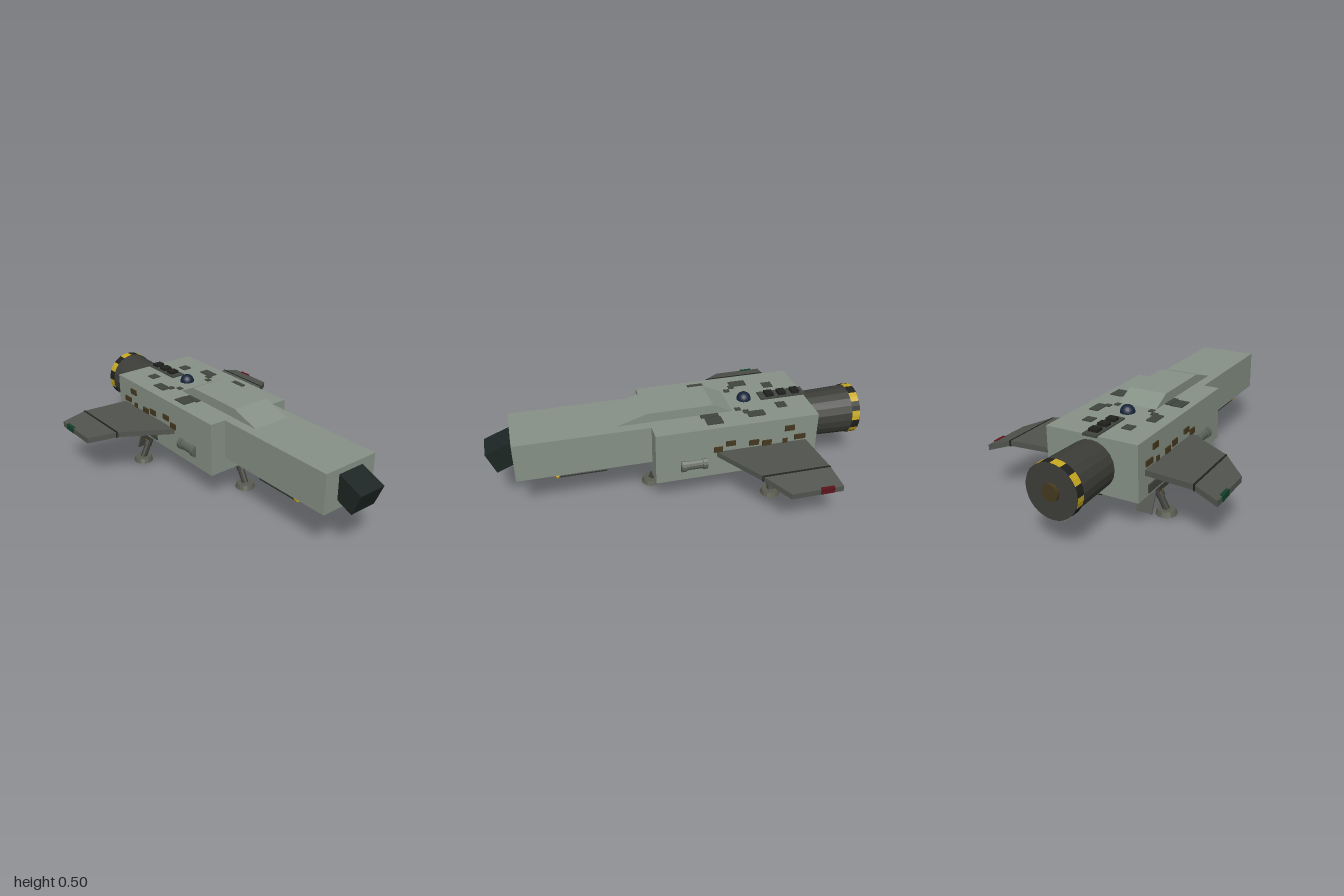
import * as THREE from 'three';

const mat = (color, side = THREE.FrontSide) =>
  new THREE.MeshStandardMaterial({ color, flatShading: true, side });
const HULL = mat(0x869186), DARK = mat(0x3c3d38), WING = mat(0x50534d), PANEL = mat(0x41453f);
const BLACK = mat(0x20211e), BROWN = mat(0x44381f), YELLOW = mat(0xc8a920), GLASS = mat(0x1c2623);
const POD = mat(0x5c625a), FOOT = mat(0x5a5b50);

function add(parent, name, geometry, material, x = 0, y = 0, z = 0) {
  const m = new THREE.Mesh(geometry, material);
  m.name = name;
  m.position.set(x, y, z);
  parent.add(m);
  return m;
}
const box = (p, name, material, [w, h, d], [x, y, z]) =>
  add(p, name, new THREE.BoxGeometry(w, h, d), material, x, y, z);
// cylinder along z, with r1 at its front end
const tubeZ = (p, name, material, r1, r2, len, sides, [x, y, z]) =>
  add(p, name, new THREE.CylinderGeometry(r1, r2, len, sides).rotateX(Math.PI / 2), material, x, y, z);
// cylinder between two points
function rod(p, name, material, r, a, b, sides = 10) {
  const A = new THREE.Vector3(...a), B = new THREE.Vector3(...b), d = B.clone().sub(A);
  const m = add(p, name, new THREE.CylinderGeometry(r, r, d.length(), sides), material);
  m.position.copy(A).add(B).multiplyScalar(0.5);
  m.quaternion.setFromUnitVectors(new THREE.Vector3(0, 1, 0), d.normalize());
  return m;
}

// solid skinned through four-cornered sections, ordered from +x root outwards
function loft(sections) {
  const pos = sections.flat(2), idx = [];
  for (let s = 0; s < sections.length - 1; s++)
    for (let i = 0; i < 4; i++) {
      const a = s * 4 + i, b = s * 4 + (i + 1) % 4;
      idx.push(a, a + 4, b, b, a + 4, b + 4);
    }
  const e = (sections.length - 1) * 4;
  idx.push(0, 1, 2, 0, 2, 3, e, e + 2, e + 1, e, e + 3, e + 2);
  const g = new THREE.BufferGeometry();
  g.setAttribute('position', new THREE.Float32BufferAttribute(pos, 3));
  g.setIndex(idx);
  const flat = g.toNonIndexed();
  flat.computeVertexNormals();
  return flat;
}
const section = (x, top, bottom, front, rear) =>
  [[x, top, front], [x, top, rear], [x, bottom, rear], [x, bottom, front]];

function makeLeg(parent, name, x, z, footX, footZ, doorX) {
  const leg = new THREE.Group();
  leg.name = name;
  parent.add(leg);
  box(leg, 'legMount', DARK, [0.095, 0.025, 0.1], [x, 0.147, z]);
  rod(leg, 'upperStrut', DARK, 0.023, [x, 0.145, z], [(x + footX) / 2, 0.085, (z + footZ) / 2]);
  rod(leg, 'lowerStrut', DARK, 0.018, [x, 0.14, z], [footX, 0.02, footZ]);
  add(leg, 'footPad', new THREE.CylinderGeometry(0.045, 0.054, 0.025, 14), FOOT, footX, 0.0125, footZ);
  for (const s of [-1, 1])
    rod(leg, 'hydraulicPin', YELLOW, 0.009, [x + s * 0.03, 0.14, z], [x + s * 0.03, 0.122, z], 8);
  const door = box(leg, 'gearDoor', WING, [0.085, 0.115, 0.007], [doorX, 0.085, z - 0.075]);
  door.rotation.x = 0.4;
}

export function createModel() {
  const root = new THREE.Group();
  root.name = 'spacecraft';

  // hull
  box(root, 'mainHull', HULL, [0.49, 0.285, 0.86], [0, 0.3025, -0.25]);
  box(root, 'forwardHull', HULL, [0.315, 0.208, 0.71], [0, 0.34, 0.515]);
  box(root, 'cockpit', GLASS, [0.15, 0.122, 0.18], [0, 0.339, 0.895]).rotation.x = 0.39;
  const hump = new THREE.Shape([[-0.36, 0.44], [-0.19, 0.495], [0.155, 0.495], [0.27, 0.44]]
    .map(p => new THREE.Vector2(...p)));
  add(root, 'dorsalFairing', new THREE.ExtrudeGeometry(hump, { depth: 0.21, bevelEnabled: false })
    .translate(0, 0, -0.105).rotateY(Math.PI / 2), HULL);

  // engine with a hazard striped rim
  tubeZ(root, 'engine', DARK, 0.123, 0.132, 0.32, 20, [0, 0.3, -0.82]);
  for (let i = 0; i < 16; i++) {
    const a = Math.PI / 8, stripe = new THREE.CylinderGeometry(0.135, 0.135, 0.045, 2, 1, true, i * a, a);
    add(root, 'rimStripe', stripe.rotateX(Math.PI / 2), i % 2 ? BLACK : YELLOW, 0, 0.3, -0.962)
      .material.side = THREE.DoubleSide;
  }
  tubeZ(root, 'engineEndPlate', DARK, 0.134, 0.134, 0.01, 32, [0, 0.3, -0.981]);
  tubeZ(root, 'exhaust', BROWN, 0.045, 0.042, 0.03, 16, [0, 0.3, -0.985]);

  // dorsal sensor dome and vents
  add(root, 'sensorDome', new THREE.SphereGeometry(0.038, 20, 12), new THREE.MeshStandardMaterial({ color: 0x16243a }),
    0, 0.447, -0.355);
  box(root, 'ventRail', PANEL, [0.075, 0.012, 0.25], [0, 0.446, -0.565]);
  for (const z of [-0.64, -0.565, -0.495])
    box(root, 'topVent', BLACK, [0.05, 0.025, 0.042], [0, 0.454, z]);
  for (const z of [-0.46, -0.52, -0.58, -0.64])
    box(root, 'bellyVent', BLACK, [0.07, 0.022, 0.042], [0, 0.152, z]);

  // paired parts
  for (const s of [1, -1]) {
    const side = new THREE.Group();
    side.name = s > 0 ? 'leftSide' : 'rightSide';
    side.scale.x = s;
    root.add(side);

    add(side, 'wing', loft([
      section(0.24, 0.302, 0.274, -0.135, -0.62),
      section(0.5, 0.302, 0.274, -0.295, -0.645),
      section(0.622, 0.264, 0.234, -0.4, -0.668),
    ]), WING);
    add(side, 'wingSeam', loft([
      section(0.496, 0.304, 0.272, -0.292, -0.646),
      section(0.505, 0.302, 0.27, -0.299, -0.648),
    ]), BLACK);
    box(side, 'tipLight', mat(s > 0 ? 0x5a141a : 0x12402a), [0.034, 0.03, 0.07], [0.61, 0.253, -0.585]);

    // flush panels on the roof: x, z, width, depth
    for (const [x, z, w, d] of [[0.108, -0.525, 0.05, 0.052], [0.16, -0.37, 0.05, 0.09],
      [0.13, -0.325, 0.03, 0.03], [0.097, -0.29, 0.025, 0.03], [0.175, -0.14, 0.065, 0.085],
      [0.125, -0.13, 0.028, 0.095]])
      box(side, 'roofPanel', PANEL, [w, 0.012, d], [x, 0.444, z]);

    // raised hatches on the flank: y, z, height, depth
    for (const [y, z, h, d] of [[0.318, -0.145, 0.03, 0.045], [0.345, -0.21, 0.028, 0.05],
      [0.33, -0.335, 0.03, 0.052], [0.318, -0.405, 0.03, 0.05], [0.388, -0.525, 0.03, 0.052],
      [0.328, -0.585, 0.028, 0.06], [0.315, -0.505, 0.025, 0.025]])
      box(side, 'sideHatch', BROWN, [0.014, h, d], [0.245, y, z]);
    box(side, 'sideDuct', PANEL, [0.02, 0.042, 0.29], [0.242, 0.195, -0.45]);

    // flank tank
    tubeZ(side, 'sideTank', POD, 0.029, 0.029, 0.14, 14, [0.235, 0.242, -0.02]);
    for (const z of [0.035, -0.075])
      tubeZ(side, 'tankCollar', POD, 0.035, 0.035, 0.024, 14, [0.235, 0.242, z]);

    // gun under the forward hull
    tubeZ(side, 'gunBody', PANEL, 0.016, 0.016, 0.25, 8, [0.114, 0.21, 0.535]);
    tubeZ(side, 'gunMuzzle', YELLOW, 0.018, 0.018, 0.016, 8, [0.114, 0.21, 0.664]);
    box(side, 'gunMount', PANEL, [0.02, 0.025, 0.06], [0.114, 0.23, 0.485]);

    makeLeg(side, 'rearLeg', 0.2, -0.44, 0.26, -0.44, 0.19);
  }
  makeLeg(root, 'frontLeg', 0, 0.09, 0, 0.155, 0);
  return root;
}
